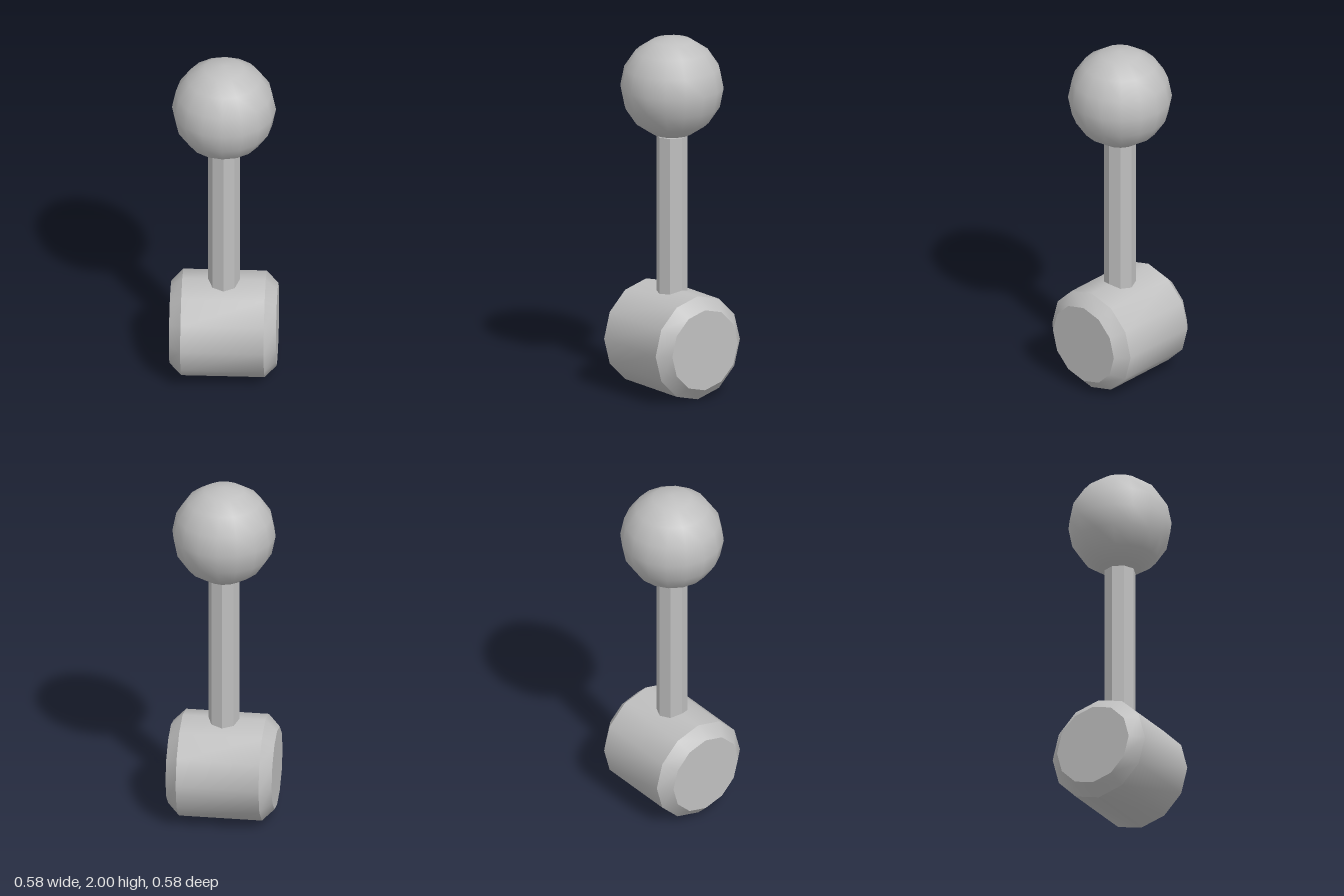
import * as THREE from 'three';
import { toCreasedNormals } from 'three/addons/utils/BufferGeometryUtils.js';

const CREASE = THREE.MathUtils.degToRad(35);

export function createModel() {
  const model = new THREE.Group();
  model.name = 'leverHandle';
  const grey = new THREE.MeshStandardMaterial({ color: 0xbfbfbf });
  grey.name = 'plain grey';

  const add = (name, geometry, y) => {
    const mesh = new THREE.Mesh(geometry, grey);
    mesh.name = name;
    mesh.position.y = y;
    model.add(mesh);
    return mesh;
  };

  // Twelve-sided barrel lying along x, with chamfered ends
  const R = 0.291, capR = 0.226, shoulder = 0.227;
  const profile = [[0, -R], [capR, -R], [R, -shoulder], [R, shoulder], [capR, R], [0, R]]
    .map(([r, h]) => new THREE.Vector2(r, h));
  const barrel = add('barrel', toCreasedNormals(new THREE.LatheGeometry(profile, 12), CREASE), R);
  barrel.rotation.z = Math.PI / 2;

  // Octagonal rod, sunk into the barrel and the knob
  const bottom = 0.4, top = 1.443;
  const rod = new THREE.CylinderGeometry(0.086, 0.086, top - bottom, 8);
  add('rod', toCreasedNormals(rod, CREASE), (bottom + top) / 2);

  // Smooth round knob
  const knobR = 0.283;
  add('knob', new THREE.SphereGeometry(knobR, 16, 8), 2 - knobR);

  return model;
}
